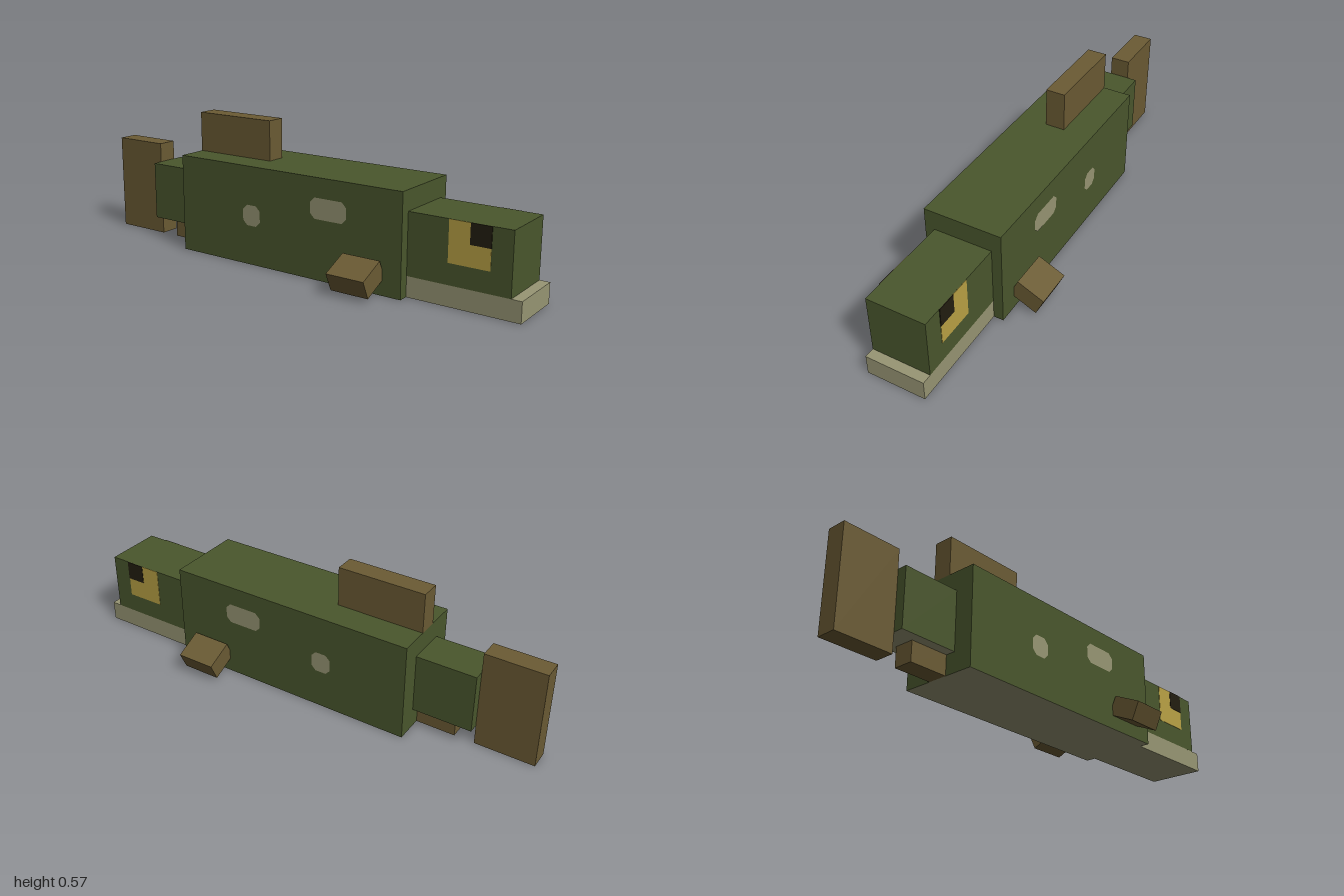
import * as THREE from 'three';

const paint = (name, color) => {
  const m = new THREE.MeshStandardMaterial({ color });
  m.name = name;
  return m;
};

export function createModel() {
  const green = paint('scaleGreen', 0x4a572d);
  const brown = paint('finBrown', 0x6b5b34);
  const pale = paint('bellyPale', 0x989674);
  const gold = paint('eyeGold', 0xbaa245);
  const black = paint('pupilBlack', 0x231e10);
  const fish = new THREE.Group();
  fish.name = 'fish';

  // Box from its limits on each axis
  const box = (name, mat, [x0, x1], [y0, y1], [z0, z1]) => {
    const mesh = new THREE.Mesh(new THREE.BoxGeometry(x1 - x0, y1 - y0, z1 - z0), mat);
    mesh.position.set((x0 + x1) / 2, (y0 + y1) / 2, (z0 + z1) / 2);
    mesh.name = name;
    fish.add(mesh);
    return mesh;
  };

  // Green sides with a pale underside (-y face)
  const bellied = [green, green, green, pale, green, green];

  // Body, head and tail
  box('body', bellied, [-0.163, 0.163], [0, 0.408], [-0.51, 0.549]);
  box('head', green, [-0.122, 0.122], [0.082, 0.327], [0.549, 0.959]);
  box('jaw', pale, [-0.122, 0.122], [0, 0.082], [0.549, 1]);
  box('tailStem', bellied, [-0.082, 0.082], [0.082, 0.327], [-0.755, -0.51]);

  // Fins along the centre line
  box('tailFin', brown, [-0.041, 0.041], [0, 0.408], [-1, -0.755]);
  box('dorsalFin', brown, [-0.041, 0.041], [0.408, 0.573], [-0.51, -0.143]);
  box('analFin', brown, [-0.041, 0.041], [0, 0.082], [-0.673, -0.51]);

  // Flat side spot with clipped corners
  const spot = (name, side, [z0, z1], [y0, y1]) => {
    const w = (z1 - z0) / 2, h = (y1 - y0) / 2, c = 0.02;
    const shape = new THREE.Shape([
      [-w + c, -h], [w - c, -h], [w, -h + c], [w, h - c],
      [w - c, h], [-w + c, h], [-w, h - c], [-w, -h + c],
    ].map(([x, y]) => new THREE.Vector2(x, y)));
    const mesh = new THREE.Mesh(new THREE.ShapeGeometry(shape), pale);
    mesh.rotation.y = side * Math.PI / 2;
    mesh.position.set(side * 0.165, (y0 + y1) / 2, (z0 + z1) / 2);
    mesh.name = name;
    fish.add(mesh);
  };

  // Paired parts
  for (const side of [1, -1]) {
    const label = side > 0 ? 'left' : 'right';
    const plate = (out) => [side * 0.121, side * out].sort((a, b) => a - b);

    const fin = box(label + 'SideFin', brown, [-0.061, 0.061], [-0.0405, 0.0405], [0.306, 0.469]);
    fin.position.x = side * 0.2185;
    fin.position.y = 0.077;
    fin.rotation.z = -side * 0.43;

    box(label + 'Eye', gold, plate(0.1235), [0.165, 0.3268], [0.714, 0.878]);
    box(label + 'Pupil', black, plate(0.125), [0.247, 0.3269], [0.798, 0.879]);
    spot(label + 'FrontSpot', side, [0.146, 0.31], [0.245, 0.329]);
    spot(label + 'RearSpot', side, [-0.185, -0.1], [0.164, 0.249]);
  }

  return fish;
}
